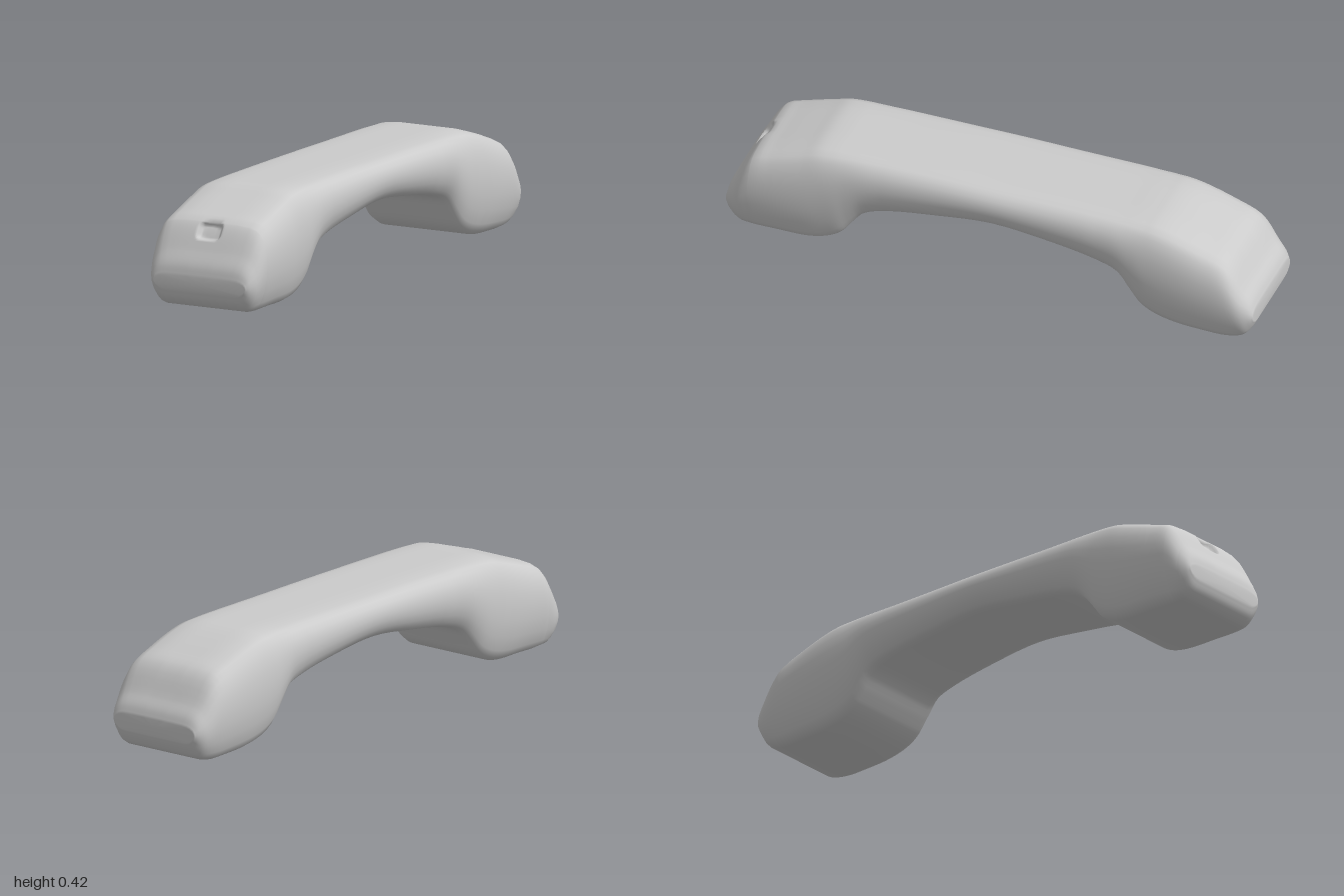
import * as THREE from 'three';

// Stations from the front tip to the back tip: [top z, top y, bottom z, bottom y, half width]
const STATIONS = [
  [1.0, 0.15, 1.0, 0.10, 0.185],
  [0.99, 0.19, 0.985, 0.065, 0.2],
  [0.965, 0.235, 0.955, 0.038, 0.215],
  [0.90, 0.335, 0.91, 0.03, 0.226],
  [0.83, 0.362, 0.80, 0.03, 0.23],
  [0.72, 0.397, 0.69, 0.03, 0.23],
  [0.66, 0.415, 0.62, 0.045, 0.228],
  [0.60, 0.42, 0.57, 0.075, 0.226],
  [0.55, 0.42, 0.53, 0.125, 0.223],
  [0.48, 0.419, 0.48, 0.18, 0.22],
  [0.40, 0.418, 0.40, 0.21, 0.217],
  [0.20, 0.416, 0.20, 0.24, 0.213],
  [0, 0.412, 0, 0.26, 0.213],
  [-0.20, 0.409, -0.20, 0.24, 0.213],
  [-0.40, 0.406, -0.40, 0.205, 0.217],
  [-0.48, 0.405, -0.48, 0.175, 0.22],
  [-0.54, 0.405, -0.53, 0.11, 0.223],
  [-0.58, 0.404, -0.57, 0.06, 0.226],
  [-0.62, 0.402, -0.62, 0.03, 0.228],
  [-0.68, 0.39, -0.70, 0.01, 0.23],
  [-0.80, 0.35, -0.80, 0.003, 0.23],
  [-0.89, 0.31, -0.90, 0.002, 0.226],
  [-0.955, 0.215, -0.96, 0.02, 0.215],
  [-0.985, 0.175, -0.985, 0.05, 0.2],
  [-1.0, 0.14, -1.0, 0.08, 0.185],
];

// Right half of a cross-section, bottom centre to top centre: [width fraction, height fraction]
const HALF = [
  [0, 0], [0.35, 0], [0.72, 0], [0.82, 0.037], [0.88, 0.105], [0.95, 0.24], [0.99, 0.4],
  [1, 0.55], [0.985, 0.68], [0.95, 0.8], [0.88, 0.9], [0.8, 0.955], [0.68, 0.985], [0.45, 1],
  [0.26, 1], [0.235, 1], [0.215, 1], [0.195, 1], [0.17, 1], [0.14, 1], [0.07, 1], [0, 1],
];
const SECTION = [...HALF, ...HALF.slice(1, -1).reverse().map(([x, v]) => [-x, v])];

// Depth of the small hook recess on the front end
function recessDepth(x, y, z) {
  if (z < 0.85) return 0;
  const m = Math.pow((x / 0.046) ** 4 + ((y - 0.307) / 0.028) ** 4, 0.25);
  return 0.02 * (1 - THREE.MathUtils.smoothstep(m, 0.75, 1.12));
}

function handsetGeometry() {
  const top = new THREE.CatmullRomCurve3(STATIONS.map(s => new THREE.Vector3(s[4], s[1], s[0])));
  const bottom = new THREE.CatmullRomCurve3(STATIONS.map(s => new THREE.Vector3(0, s[3], s[2])));
  const spans = STATIONS.length - 1;

  // Finer rings over the span that carries the recess
  const params = [];
  for (let s = 0; s < spans; s++) {
    const steps = s === 2 ? 20 : 4;
    for (let k = 0; k < steps; k++) params.push((s + k / steps) / spans);
  }
  params.push(1);

  const positions = [], index = [], n = SECTION.length;
  for (const t of params) {
    const a = bottom.getPoint(t), b = top.getPoint(t);
    for (const [fx, v] of SECTION) {
      const x = fx * b.x;
      let y = THREE.MathUtils.lerp(a.y, b.y, v);
      let z = THREE.MathUtils.lerp(a.z, b.z, v);
      if (v === 1) {
        const d = recessDepth(x, y, z);
        y -= d * 0.55;
        z -= d * 0.83;
      }
      positions.push(x, y, z);
    }
  }

  // Skin between neighbouring rings
  for (let i = 0; i < params.length - 1; i++) {
    for (let j = 0; j < n; j++) {
      const p = i * n + j, q = i * n + (j + 1) % n;
      index.push(p, p + n, q, q, p + n, q + n);
    }
  }

  // Flat tips
  const last = (params.length - 1) * n, centre = positions.length / 3;
  positions.push(0, 0.125, 1, 0, 0.11, -1);
  for (let j = 0; j < n; j++) {
    const k = (j + 1) % n;
    index.push(centre, j, k, centre + 1, last + k, last + j);
  }

  const geometry = new THREE.BufferGeometry();
  geometry.setAttribute('position', new THREE.Float32BufferAttribute(positions, 3));
  geometry.setIndex(index);
  geometry.computeVertexNormals();
  return geometry;
}

export function createModel() {
  const group = new THREE.Group();
  group.name = 'telephoneHandset';
  const body = new THREE.Mesh(handsetGeometry(), new THREE.MeshStandardMaterial({ color: 0xcccccc }));
  body.name = 'handsetBody';
  group.add(body);
  return group;
}
